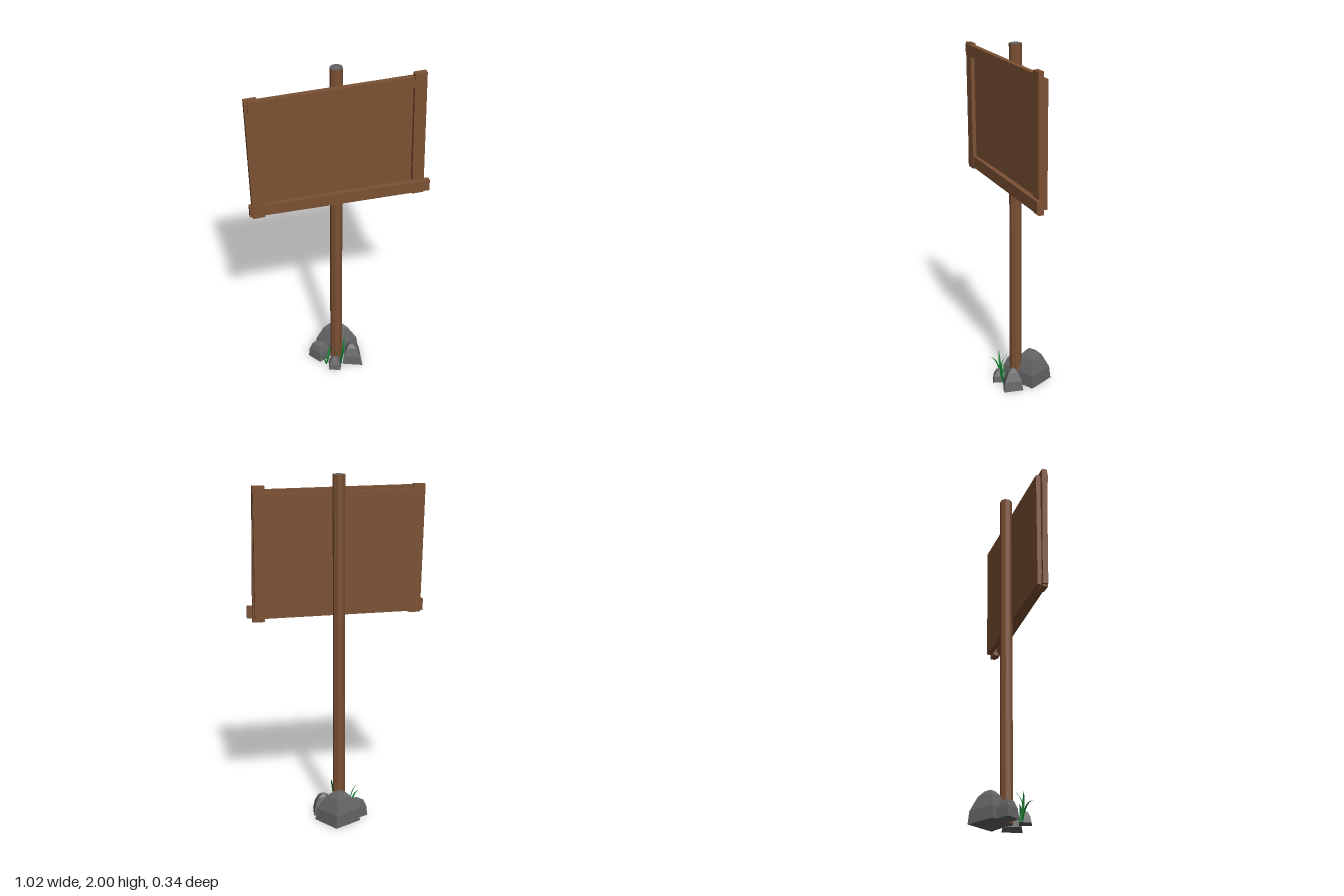
import * as THREE from 'three';
import { ConvexGeometry } from 'three/addons/geometries/ConvexGeometry.js';

export function createModel() {
  const model = new THREE.Group();
  model.name = 'signpost';

  const wood = new THREE.MeshStandardMaterial({ color: 0x7b5033 });
  wood.name = 'brown wood';
  const stone = new THREE.MeshStandardMaterial({ color: 0x646466 });
  stone.name = 'grey stone';
  const leaf = new THREE.MeshStandardMaterial({ color: 0x0f7a2c, side: THREE.DoubleSide });
  leaf.name = 'green grass';

  function add(parent, name, geometry, material) {
    const mesh = new THREE.Mesh(geometry, material);
    mesh.name = name;
    parent.add(mesh);
    return mesh;
  }

  // Octagonal post with a grey cut end on top
  const postGeometry = new THREE.CylinderGeometry(0.035, 0.035, 2, 8, 1, false, Math.PI / 8).toNonIndexed();
  postGeometry.computeVertexNormals();
  add(model, 'post', postGeometry, [wood, stone, wood]).position.set(0, 1, 0.028);

  // Sign board: back panel and four slightly crooked frame planks
  const board = new THREE.Group();
  board.name = 'signBoard';
  model.add(board);
  function plank(name, size, position, turnY = 0, turnZ = 0) {
    const mesh = add(board, name, new THREE.BoxGeometry(...size), wood);
    mesh.position.set(...position);
    mesh.rotation.set(0, turnY, turnZ);
  }
  plank('panel', [0.945, 0.695, 0.033], [-0.002, 1.552, 0.0715]);
  plank('leftEdgePlank', [0.068, 0.735, 0.03], [-0.465, 1.558, 0.095], 0, 0.027);
  plank('rightEdgePlank', [0.068, 0.76, 0.03], [0.442, 1.56, 0.095], 0, 0.014);
  plank('topRail', [0.94, 0.066, 0.03], [-0.02, 1.887, 0.098], 0.014);
  plank('bottomRail', [1.013, 0.067, 0.03], [0.002, 1.234, 0.104], -0.025);

  // Faceted rocks: a four-cornered footprint shrinking towards an off-centre peak
  const rocks = new THREE.Group();
  rocks.name = 'rocks';
  model.add(rocks);
  function rock(name, corners, peak, height, levels) {
    const points = [];
    for (const [h, scale] of levels) {
      for (const [x, z] of corners) {
        points.push(new THREE.Vector3(
          peak[0] + (x - peak[0]) * scale, height * h, peak[1] + (z - peak[1]) * scale));
      }
    }
    add(rocks, name, new ConvexGeometry(points), stone);
  }
  rock('largeRock', [[0.06, -0.17], [0.15, -0.01], [-0.01, 0.055], [-0.1, -0.08]],
    [0.015, -0.06], 0.18, [[0, 1], [0.4, 0.93], [0.84, 0.55], [1, 0.25]]);
  rock('sideRock', [[-0.16, -0.015], [-0.075, -0.055], [-0.03, 0.025], [-0.11, 0.062]],
    [-0.1, -0.005], 0.105, [[0, 1], [0.55, 0.9], [0.93, 0.6], [1, 0.2]]);
  rock('smallRock', [[-0.078, 0.14], [-0.012, 0.167], [0.01, 0.1], [-0.06, 0.08]],
    [-0.035, 0.115], 0.07, [[0, 1], [0.5, 0.85], [0.9, 0.5], [1, 0.15]]);
  rock('frontRock', [[0.015, 0.115], [0.128, 0.16], [0.146, 0.045], [0.05, 0.035]],
    [0.08, 0.08], 0.12, [[0, 1], [0.45, 0.85], [0.85, 0.5], [1, 0.15]]);

  // Grass blades: ribbons that follow a bent curve and taper to a tip
  const grass = new THREE.Group();
  grass.name = 'grass';
  model.add(grass);
  function blade(base, bend, tip, width) {
    const curve = new THREE.QuadraticBezierCurve3(
      new THREE.Vector3(...base), new THREE.Vector3(...bend), new THREE.Vector3(...tip));
    const side = new THREE.Vector3(tip[2] - base[2], 0, base[0] - tip[0]).normalize();
    const geometry = new THREE.PlaneGeometry(1, 1, 1, 6);
    const pos = geometry.attributes.position;
    for (let i = 0; i < pos.count; i++) {
      const t = pos.getY(i) + 0.5;
      const half = pos.getX(i) * width * (1 - t) * (0.7 + 1.6 * t);
      const p = curve.getPoint(t).addScaledVector(side, half);
      pos.setXYZ(i, p.x, p.y, p.z);
    }
    geometry.computeVertexNormals();
    add(grass, 'grassBlade', geometry, leaf);
  }
  blade([0.0, 0, 0.105], [0.01, 0.14, 0.165], [0.04, 0.215, 0.07], 0.02);
  blade([0.01, 0, 0.11], [0.005, 0.1, 0.14], [0.025, 0.15, 0.12], 0.018);
  blade([0.0, 0, 0.1], [-0.01, 0.08, 0.11], [-0.035, 0.11, 0.09], 0.016);
  blade([-0.075, 0, 0.085], [-0.08, 0.11, 0.1], [-0.118, 0.155, 0.085], 0.018);
  blade([-0.08, 0, 0.09], [-0.1, 0.11, 0.1], [-0.145, 0.1, 0.13], 0.016);
  blade([-0.07, 0, 0.08], [-0.06, 0.07, 0.07], [-0.04, 0.11, 0.04], 0.016);

  return model;
}
